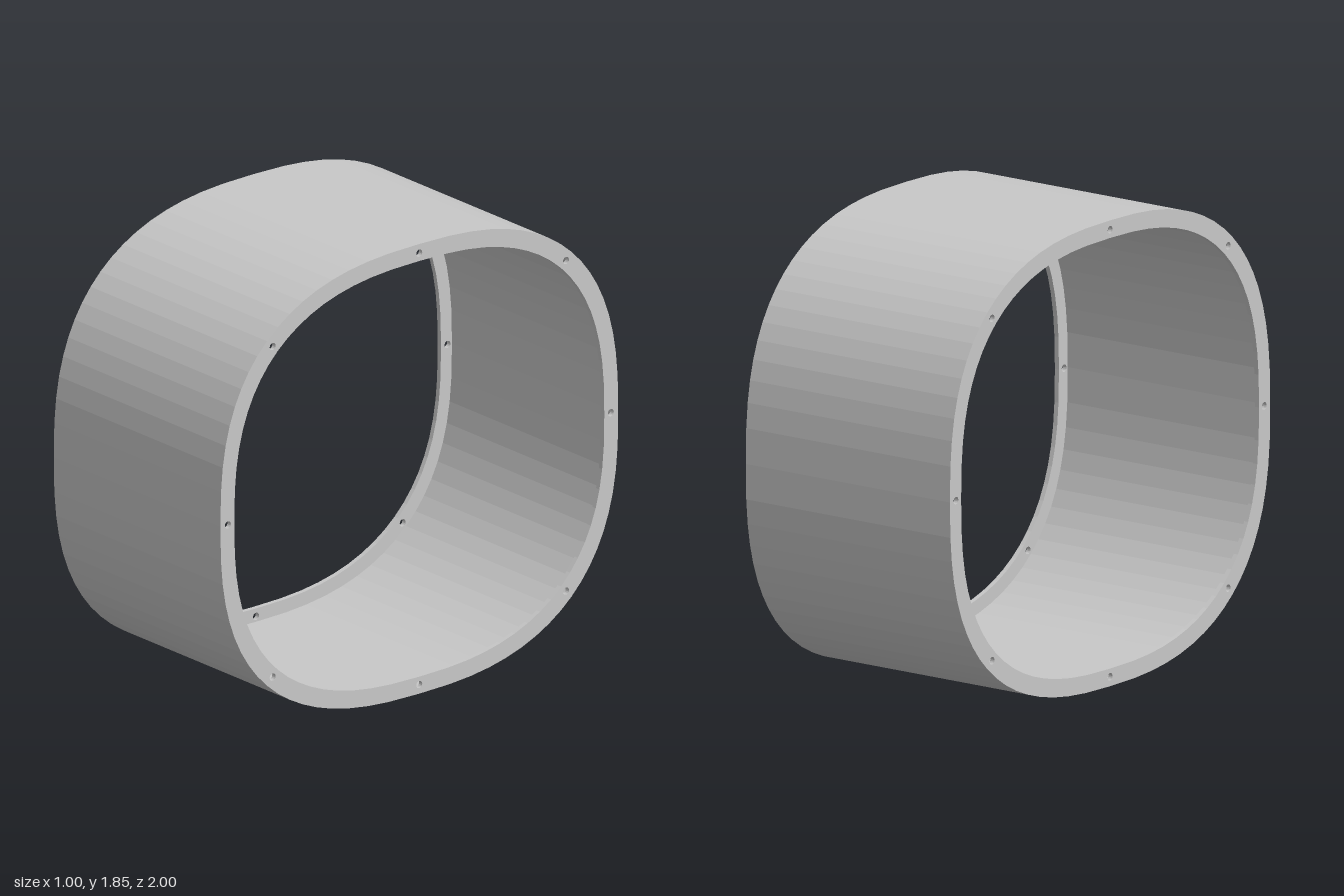
import * as THREE from 'three';

const LENGTH = 1, HALF_Z = 1, HALF_Y = 0.925;
const WALL = 0.015, RIM = 0.07, FLANGE = 0.02;
const POWER = 2 / 2.6, SIDES = 72;

// Point on a rounded-square oval, inset from the outer skin
function ovalPoint(inset, angle) {
  const c = Math.cos(angle), s = Math.sin(angle);
  return new THREE.Vector2(
    (HALF_Z - inset) * Math.sign(c) * Math.abs(c) ** POWER,
    (HALF_Y - inset) * Math.sign(s) * Math.abs(s) ** POWER
  );
}

function ovalPoints(inset) {
  return Array.from({ length: SIDES }, (_, i) => ovalPoint(inset, (i / SIDES) * Math.PI * 2));
}

// Ring of a given width, extruded along x and centred on the origin
function ringGeometry(width, depth, withBolts) {
  const shape = new THREE.Shape(ovalPoints(0));
  shape.holes.push(new THREE.Path(ovalPoints(width)));
  if (withBolts) {
    for (let i = 0; i < 8; i++) {
      const p = ovalPoint(0.0375, (i / 8) * Math.PI * 2);
      shape.holes.push(new THREE.Path().absarc(p.x, p.y, 0.015, 0, Math.PI * 2, true));
    }
  }
  const geometry = new THREE.ExtrudeGeometry(shape, { depth, bevelEnabled: false, curveSegments: 8 });
  geometry.translate(0, 0, -depth / 2);
  geometry.rotateY(Math.PI / 2);
  return geometry;
}

export function createModel() {
  const model = new THREE.Group();
  model.name = 'ductSection';
  const metal = new THREE.MeshStandardMaterial({ color: 0xc8c8c8 });
  metal.name = 'light grey metal';

  // Thin outer wall between the flanges
  const wall = new THREE.Mesh(ringGeometry(WALL, LENGTH - 2 * FLANGE, false), metal);
  wall.name = 'wall';
  wall.position.y = HALF_Y;
  model.add(wall);

  // Inward flange with bolt holes at each end
  const flangeGeometry = ringGeometry(RIM, FLANGE, true);
  for (const side of [-1, 1]) {
    const flange = new THREE.Mesh(flangeGeometry, metal);
    flange.name = side > 0 ? 'leftFlange' : 'rightFlange';
    flange.position.set(side * (LENGTH - FLANGE) / 2, HALF_Y, 0);
    model.add(flange);
  }
  return model;
}
